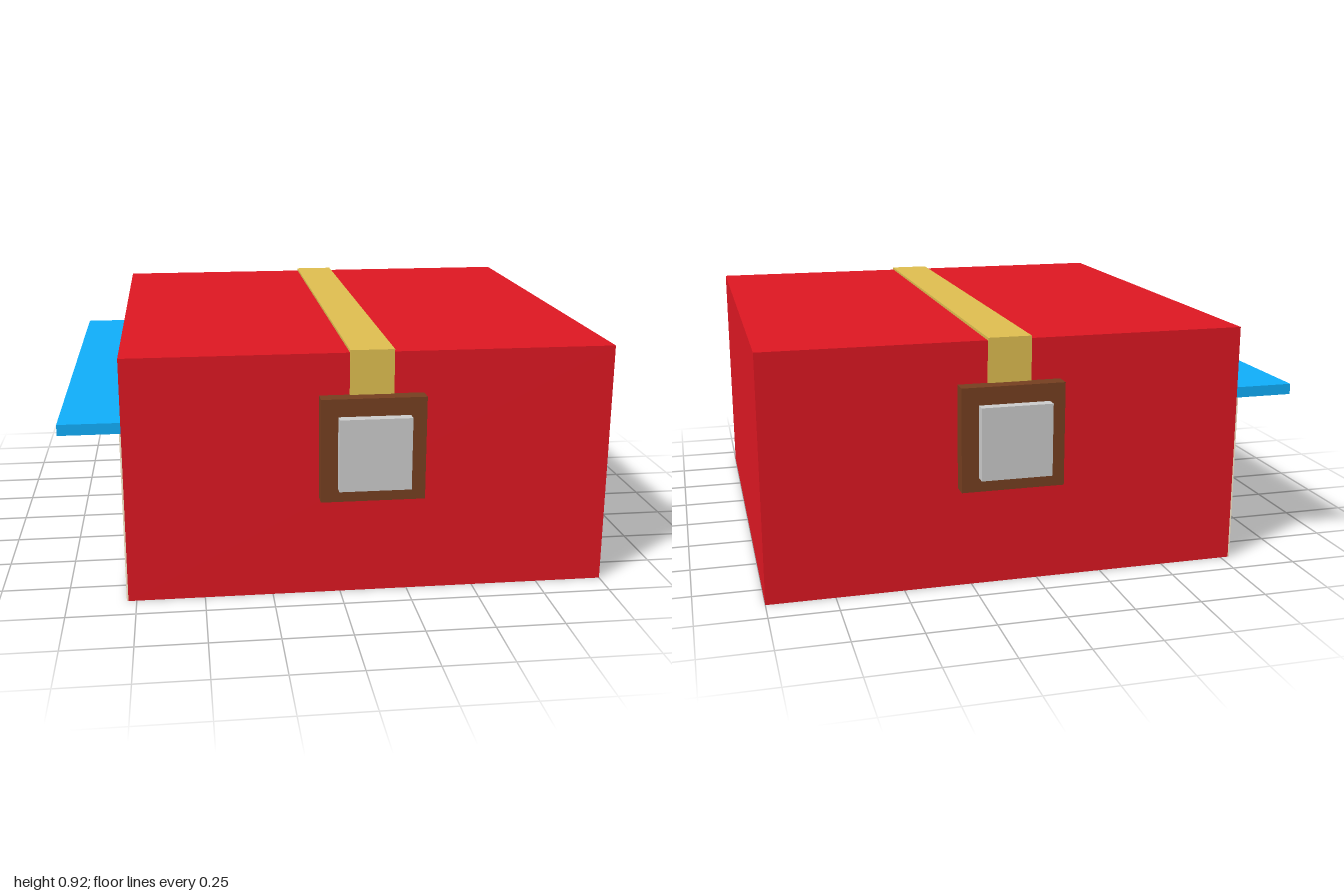
import * as THREE from 'three';

const mat = (color) => new THREE.MeshStandardMaterial({ color });
const RED = mat(0xde1722), BLUE = mat(0x10aefa), GOLD = mat(0xdfbe50), BROWN = mat(0x753f20);
const GREY = mat(0xcccccc), CREAM = mat(0xffeed0), NAVY = mat(0x166cce), ORANGE = mat(0xe09a40);

export function createModel() {
  const model = new THREE.Group();

  // Box given by its minimum and maximum on each axis
  const box = (name, material, [x0, x1], [y0, y1], [z0, z1], parent = model) => {
    const mesh = new THREE.Mesh(new THREE.BoxGeometry(x1 - x0, y1 - y0, z1 - z0), material);
    mesh.position.set((x0 + x1) / 2, (y0 + y1) / 2, (z0 + z1) / 2);
    mesh.name = name;
    parent.add(mesh);
    return mesh;
  };

  // Main body and the brim along its right side
  box('body', RED, [-0.78, 1], [0, 0.91], [-0.89, 0.89]);
  box('brim', BLUE, [-1, -0.78], [0.64, 0.68], [-0.89, 0.89]);

  // Face panel below the brim, slot above it
  box('facePanel', CREAM, [-0.786, -0.78], [0, 0.64], [-0.89, 0.89]);
  box('slot', CREAM, [-0.79, -0.78], [0.76, 0.84], [-0.37, 0.37]);
  box('mouth', ORANGE, [-0.79, -0.785], [0.15, 0.17], [-0.08, 0.08]);
  for (const side of [-1, 1]) {
    const eye = new THREE.Mesh(new THREE.CylinderGeometry(0.12, 0.12, 0.006, 32), NAVY);
    eye.rotation.z = Math.PI / 2;
    eye.position.set(-0.788, 0.29, side * 0.225);
    eye.name = 'eye';
    model.add(eye);
  }

  // Strap over the top, with a buckle at each end
  box('strap', GOLD, [0.03, 0.19], [0.91, 0.92], [-0.896, 0.896]);
  for (const side of [-1, 1]) {
    const clasp = new THREE.Group();
    clasp.name = side > 0 ? 'frontClasp' : 'backClasp';
    const span = (a, b) => (side > 0 ? [a, b] : [-b, -a]);
    box('strapEnd', GOLD, [0.03, 0.19], [0.74, 0.91], span(0.89, 0.896), clasp);
    box('buckle', BROWN, [-0.08, 0.3], [0.375, 0.757], span(0.89, 0.95), clasp);
    box('buckleButton', GREY, [-0.02, 0.24], [0.43, 0.695], span(0.96, 1), clasp);
    model.add(clasp);
  }
  return model;
}
